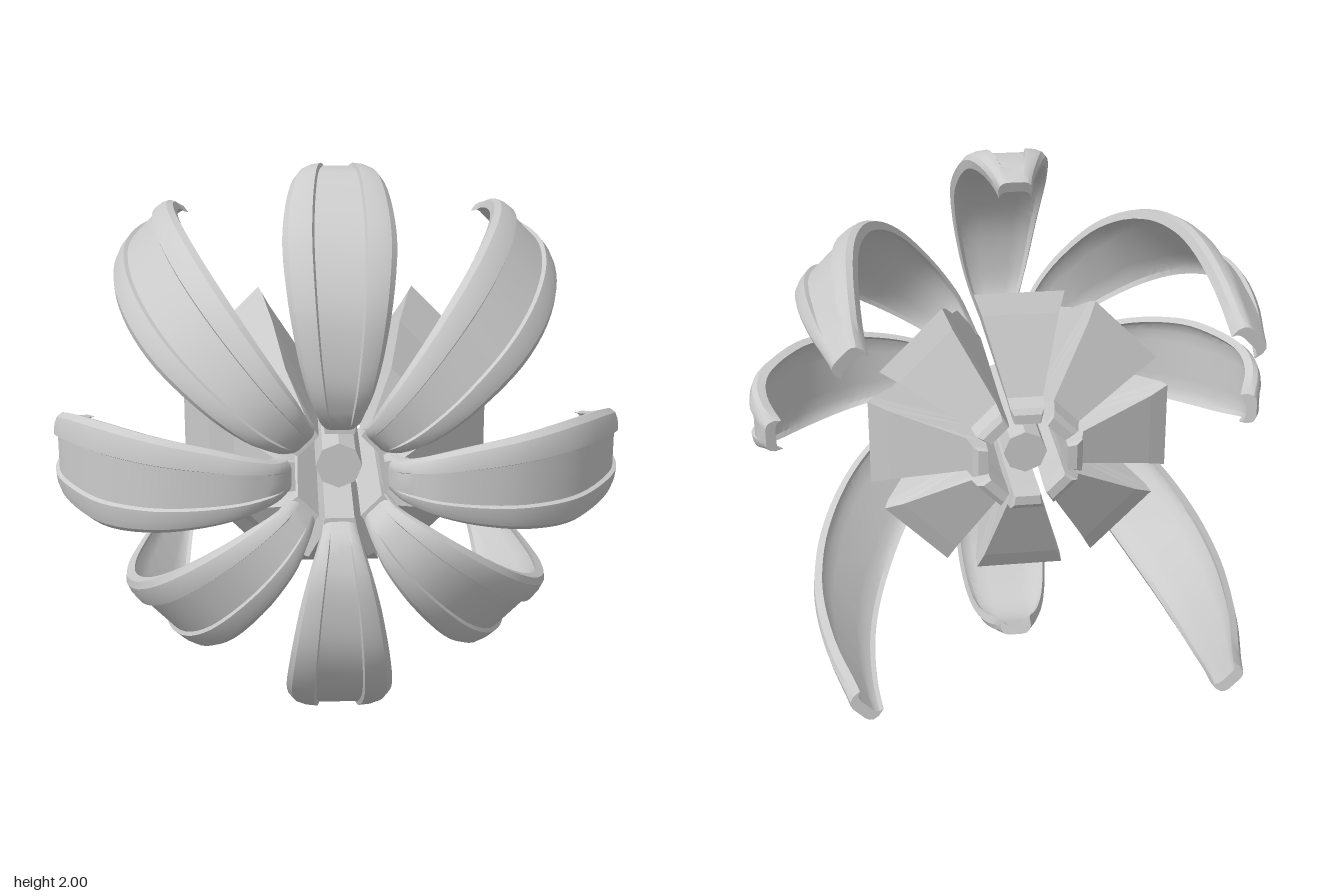
import * as THREE from 'three';
import { mergeVertices, toCreasedNormals } from 'three/addons/utils/BufferGeometryUtils.js';

const material = new THREE.MeshStandardMaterial({ color: 0xcccccc, side: THREE.DoubleSide });
const flatMaterial = new THREE.MeshStandardMaterial({ color: 0xcccccc, flatShading: true });

// Skin a list of closed rings (arrays of [x, y, z]) and cap both ends
function loft(rings) {
  const n = rings[0].length, position = rings.flat(2), index = [];
  for (let i = 0; i < rings.length - 1; i++) {
    for (let j = 0; j < n; j++) {
      const a = i * n + j, b = i * n + (j + 1) % n;
      index.push(a, b, a + n, b, b + n, a + n);
    }
  }
  // caps pair opposite points, as every ring is left-right symmetric
  const last = (rings.length - 1) * n;
  for (let j = 0; j < n / 2 - 1; j++) {
    const a = j, b = j + 1, c = n - 2 - j, d = n - 1 - j;
    index.push(a, c, b, a, d, c);
    index.push(last + a, last + b, last + c, last + a, last + c, last + d);
  }
  const geometry = new THREE.BufferGeometry();
  geometry.setAttribute('position', new THREE.Float32BufferAttribute(position, 3));
  geometry.setIndex(index);
  return geometry;
}

// Curved arm along +y; each station is [radius, z, half width]
function armGeometry(stations) {
  const path = new THREE.CatmullRomCurve3(stations.map(([r, z]) => new THREE.Vector3(0, r, z)));
  const widths = new THREE.SplineCurve(stations.map(([, , w], i) => new THREE.Vector2(i, w)));
  // outer half section: [share of half width, height], with a sunk middle band
  const half = [[0, 0, 1], [0.44, 0, 1], [0.48, 0, 0], [0.72, -0.004, 0], [0.9, -0.014, 0], [1, -0.034, 0]];
  const outer = [...half.slice(1).reverse().map(([u, h, g]) => [-u, h, g]), ...half];
  const steps = 36, rings = [];
  for (let i = 0; i <= steps; i++) {
    const t = i / steps, p = path.getPoint(t), d = path.getTangent(t), w = widths.getPoint(t).y;
    const sunk = 0.014 * Math.min(1, Math.max(0, Math.min((t - 0.1) * 12, (0.95 - t) * 12)));
    const at = (u, h) => [u * w, p.y - d.z * h, p.z + d.y * h];
    const top = outer.map(([u, h, g]) => at(u, h - g * sunk));
    const under = outer.map(([u, h]) => at(u * 0.93, h * 0.75 - 0.04)).reverse();
    rings.push([...top, ...under]);
  }
  return toCreasedNormals(mergeVertices(loft(rings)), 0.5);
}

// Faceted wedge along +y; each station is [z, inner radius, outer radius, inner and outer half width]
function wedgeGeometry() {
  const stations = [
    [0.63, 0.15, 0.21, 0.05, 0.06],
    [0.46, 0.15, 0.36, 0.05, 0.105],
    [0.18, 0.15, 0.46, 0.05, 0.14],
    [0.04, 0.15, 0.54, 0.05, 0.165],
    [0, 0.15, 0.56, 0.05, 0.165],
    [-0.035, 0.15, 0.49, 0.05, 0.14],
    [-0.15, 0.145, 0.215, 0.05, 0.065],
    [-0.215, 0.145, 0.2, 0.05, 0.062],
    [-0.23, 0.145, 0.18, 0.045, 0.05],
  ];
  return loft(stations.map(([z, ri, ro, wi, wo]) =>
    [[-wi, ri, z], [-wo, ro, z], [wo, ro, z], [wi, ri, z]]));
}

export function createModel() {
  const model = new THREE.Group();
  const add = (name, geometry, mat, turn = 0) => {
    const mesh = new THREE.Mesh(geometry, mat);
    mesh.name = name;
    mesh.rotation.z = turn;
    mesh.position.y = 1;
    model.add(mesh);
  };

  const shortArm = armGeometry([
    [0.15, 0.6, 0.06], [0.2, 0.7, 0.075], [0.3, 0.758, 0.105], [0.45, 0.767, 0.14], [0.62, 0.735, 0.168],
    [0.8, 0.63, 0.186], [0.92, 0.49, 0.175], [0.99, 0.36, 0.148], [0.995, 0.24, 0.112], [0.94, 0.09, 0.062],
  ]);
  const longArm = armGeometry([
    [0.15, 0.6, 0.06], [0.2, 0.7, 0.075], [0.3, 0.758, 0.105], [0.46, 0.755, 0.135], [0.68, 0.65, 0.165],
    [0.83, 0.49, 0.175], [0.94, 0.27, 0.172], [0.995, 0.05, 0.158], [1.01, -0.15, 0.14], [0.99, -0.45, 0.105],
    [0.935, -0.77, 0.06],
  ]);
  const wedge = wedgeGeometry();

  // Eight arms, long ones on the diagonals, each with a wedge behind it
  for (let i = 0; i < 8; i++) {
    const turn = i * Math.PI / 4;
    add(i % 2 ? 'longArm' : 'shortArm', i % 2 ? longArm : shortArm, material, turn);
    add('wedge', wedge, flatMaterial, turn);
  }

  // Eight-sided rod floating in the middle
  const rod = new THREE.CylinderGeometry(0.08, 0.08, 0.68, 8).rotateX(Math.PI / 2).translate(0, 0, 0.18);
  add('coreRod', rod, flatMaterial);
  return model;
}
